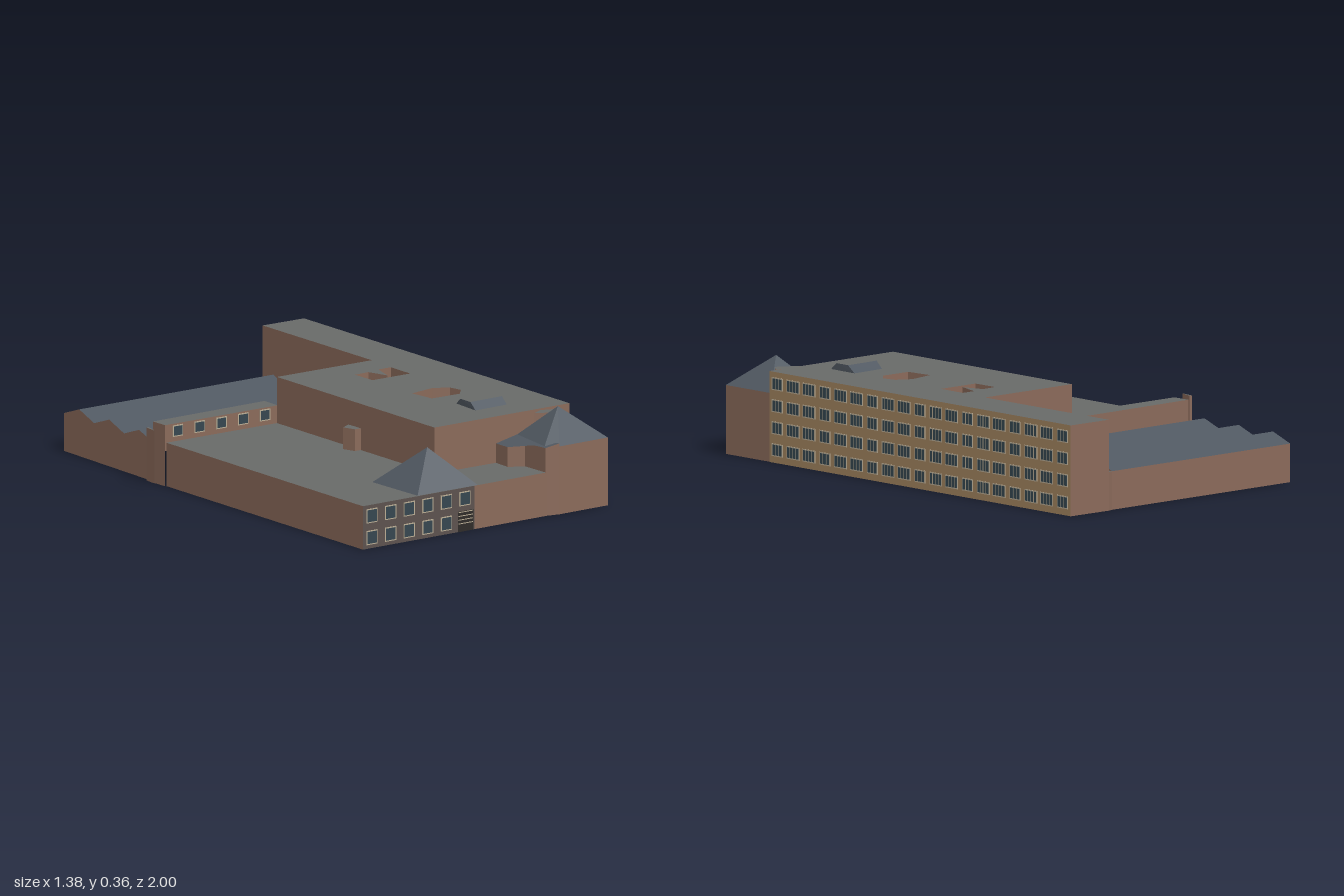
import * as THREE from 'three';
import { mergeGeometries } from 'three/addons/utils/BufferGeometryUtils.js';

const material = (color) => new THREE.MeshStandardMaterial({ color, side: THREE.DoubleSide, flatShading: true });
const BRICK = material(0x8a6a5a), TAN = material(0xa2835f), FLAT = material(0x686a68), SLATE = material(0x505861),
  DARK = material(0x5c524e), GLASS = material(0x35464f), FRAME = material(0xb9ac94), DOOR = material(0x2e2b29);

export function createModel() {
  const model = new THREE.Group();

  function add(name, geometry, mat, parent = model) {
    const mesh = new THREE.Mesh(geometry, mat);
    mesh.name = name;
    parent.add(mesh);
    return mesh;
  }

  // Ribbon of flat quads between a lower and an upper row of [x, y, z] points
  function ribbon(name, low, high, mat) {
    const v = [];
    for (let i = 0; i + 1 < low.length; i++) {
      v.push(...low[i], ...low[i + 1], ...high[i + 1]);
      if (high[i] !== high[i + 1]) v.push(...low[i], ...high[i + 1], ...high[i]);
    }
    const g = new THREE.BufferGeometry();
    g.setAttribute('position', new THREE.Float32BufferAttribute(v, 3));
    g.computeVertexNormals();
    return add(name, g, mat);
  }

  const at = (pts, y) => pts.map(([x, z]) => [x, y, z]);
  const closed = (pts) => [...pts, pts[0]];
  const walls = (name, pts, y0, y1, mat = BRICK) => ribbon(name, at(pts, y0), at(pts, y1), mat);

  // Flat roof over an [x, z] outline
  function roof(name, pts, y, mat = FLAT, holes = []) {
    const toVectors = (p) => p.map(([x, z]) => new THREE.Vector2(x, z));
    const shape = new THREE.Shape(toVectors(pts));
    holes.forEach((h) => shape.holes.push(new THREE.Path(toVectors(h))));
    add(name, new THREE.ShapeGeometry(shape).rotateX(Math.PI / 2).translate(0, y, 0), mat);
  }

  function block(name, pts, y0, y1, wallMat = BRICK, roofMat = FLAT) {
    walls(name + 'Walls', closed(pts), y0, y1, wallMat);
    roof(name + 'Roof', pts, y1, roofMat);
  }

  function pyramid(name, pts, y, apex) {
    ribbon(name, at(closed(pts), y), closed(pts).map(() => apex), SLATE);
  }

  // Windows [u, y, width, height] along the wall from a to b, outside on the local +z side
  function windows(name, a, b, list) {
    const group = new THREE.Group();
    group.name = name;
    group.position.set(a[0], 0, a[1]);
    group.rotation.y = -Math.atan2(b[1] - a[1], b[0] - a[0]);
    const frames = [], panes = [];
    const bar = (w, h, x, y, z) => new THREE.BoxGeometry(w, h, 0.004).translate(x, y, z);
    for (const [u, y, w, h, lights = 1] of list) {
      frames.push(bar(w, h, u, y, 0));
      const t = 0.004, pw = (w - t * (lights + 1)) / lights;
      for (let i = 0; i < lights; i++) {
        panes.push(bar(pw, h - 2 * t, u - w / 2 + t + pw / 2 + i * (pw + t), y, 0.001));
      }
    }
    add('windowFrames', mergeGeometries(frames), FRAME, group);
    add('windowPanes', mergeGeometries(panes), GLASS, group);
    model.add(group);
    return group;
  }

  // Tall wing: L-shaped plan with two light wells
  const A = [0.36, -1.0], B = [0.65, 0.56], C = [0.055, 0.675], D = [-0.115, -0.255], E = [0.3, -0.33], F = [0.18, -0.97];
  const H = 0.33;
  const wells = [
    [[0.15, -0.16], [0.21, -0.175], [0.25, -0.1], [0.26, -0.195], [0.315, -0.205], [0.335, -0.09], [0.17, -0.06]],
    [[0.21, 0.18], [0.31, 0.14], [0.37, 0.16], [0.39, 0.21], [0.36, 0.26], [0.24, 0.28]],
  ];
  walls('facadeWall', [B, A], 0, H, TAN);
  walls('tallEndWall', [A, F], 0, H);
  walls('tallInnerWalls', [F, E, D, C, B], 0.14, H);
  roof('tallRoof', [A, B, C, D, E, F], H, FLAT, wells);
  wells.forEach((w) => {
    walls('lightWellWalls', closed(w), 0.27, H);
    roof('lightWellFloor', w, 0.27);
  });

  // Window grid of the long facade
  const grid = [], length = Math.hypot(A[0] - B[0], A[1] - B[1]), columns = 19;
  for (let row = 0; row < 4; row++) {
    for (let i = 0; i < columns; i++) {
      const wide = i % 3 !== 0;
      grid.push([(i + 0.5) * length / columns, 0.047 + row * 0.08, wide ? 0.066 : 0.056, 0.046, wide ? 4 : 3]);
    }
  }
  windows('facadeWindows', B, A, grid);

  // Raised skylight with sloping ends
  const sky = [[0.285, 0.385], [0.42, 0.355], [0.44, 0.48], [0.3, 0.51]];
  const skyTop = [[0.285, 0.42], [0.425, 0.39], [0.435, 0.45], [0.295, 0.48]];
  ribbon('skylightSides', at(closed(sky), H), at(closed(skyTop), 0.355), SLATE);
  roof('skylightTop', skyTop, 0.355);

  // Low front block
  const lowL = [-0.6, -0.165], lowF = [-0.39, 1.0], lowM = [0.105, 0.9], lowR = [0.44, 0.832];
  const LOW = 0.16;
  walls('lowLeftWall', [lowL, lowF], 0, LOW);
  walls('lowFrontWall', [lowF, lowM], 0, LOW, DARK);
  walls('lowEntranceWall', [lowM, lowR], 0, LOW);
  roof('lowRoof', [lowL, lowF, lowM, lowR, [0.41, 0.61], C, D], LOW);

  // Front windows in two rows, with the door under the last one
  const front = [];
  for (let i = 0; i < 6; i++) {
    for (const y of [0.04, 0.12]) {
      if (i < 5 || y > 0.1) front.push([0.04 + i * 0.084, y, 0.05, 0.052]);
    }
  }
  const frontGroup = windows('frontWindows', lowF, lowM, front);
  add('door', new THREE.BoxGeometry(0.068, 0.075, 0.004).translate(0.463, 0.0375, 0), DOOR, frontGroup);
  for (let i = 0; i < 4; i++) {
    add('doorSlat', new THREE.BoxGeometry(0.066, 0.003, 0.006).translate(0.463, 0.03 + i * 0.014, 0), FRAME, frontGroup);
  }

  // Pyramid roof over the front block
  pyramid('frontPyramidRoof', [[-0.2, 0.69], [0.055, 0.645], [0.12, 0.895], [-0.145, 0.945]], LOW, [-0.035, 0.8, 0].map((v, i) => [-0.035, 0.295, 0.8][i]));

  // Narrow raised strip with a row of windows
  const sA = [-0.605, -0.165], sB = [-0.112, -0.255];
  block('raisedStrip', [[-0.62, -0.235], [-0.125, -0.335], sB, sA], 0.13, 0.225);
  windows('stripWindows', sA, sB, [0, 1, 2, 3, 4].map((i) => [0.056 + i * 0.097, 0.198, 0.046, 0.042]));
  walls('stripEndWall', [[-0.62, -0.235], sA], 0, 0.225);

  // Hall with three ridges
  const left = [], right = [];
  for (let i = 0; i <= 6; i++) {
    const t = i / 6, y = i % 2 ? 0.172 : 0.14;
    left.push([-0.695 + 0.085 * t, y, -0.8 + 0.555 * t]);
    right.push([0.16 + 0.075 * t, y, -0.96 + 0.55 * t]);
  }
  const ground = (p) => [p[0], 0, p[2]];
  ribbon('hallRidgedRoof', left, right, SLATE);
  ribbon('hallLeftWall', left.map(ground), left, BRICK);
  ribbon('hallRidgeEnds', right.map((p) => [p[0], 0.13, p[2]]), right, BRICK);
  walls('hallBackWall', [[-0.695, -0.8], [0.16, -0.96], F], 0, 0.14);
  roof('hallGutterRoof', [[0.16, -0.96], F, E, D, [-0.125, -0.335], [0.235, -0.41]], 0.14);

  // Corner tower with pyramid roof, and its lower annex
  const tower = [[0.69, 0.79], [0.647, 0.56], [0.42, 0.605], [0.425, 0.815], [0.475, 0.835]];
  walls('towerWalls', closed(tower), 0, 0.25);
  pyramid('towerPyramidRoof', tower, 0.25, [0.54, 0.36, 0.69]);
  const annex = [[0.42, 0.605], [0.325, 0.625], [0.335, 0.7], [0.395, 0.72], [0.42, 0.835], [0.475, 0.835]];
  const annexTop = annex.map(([x, z]) => [x, 0.23 + 0.2 * (x - 0.32), z]);
  ribbon('annexWalls', at(annex, 0.14), annexTop, BRICK);
  walls('annexCorner', annex.slice(3), 0, 0.16);
  ribbon('annexRoof', annexTop.slice(0, 5), annexTop.slice(0, 5).map(() => annexTop[5]).map((p) => p), SLATE);
  block('towerDormer', [[0.48, 0.62], [0.52, 0.59], [0.6, 0.6], [0.57, 0.65]], 0.25, 0.325);

  // Small bay on the tall wall and a free-standing pier
  block('wallBay', [[-0.075, 0.2], [-0.04, 0.17], [-0.02, 0.24], [-0.05, 0.245]], 0.11, 0.24);
  block('pier', [[-0.68, -0.165], [-0.67, -0.165], [-0.67, -0.14], [-0.675, -0.11]], 0.03, 0.225);

  return model;
}
